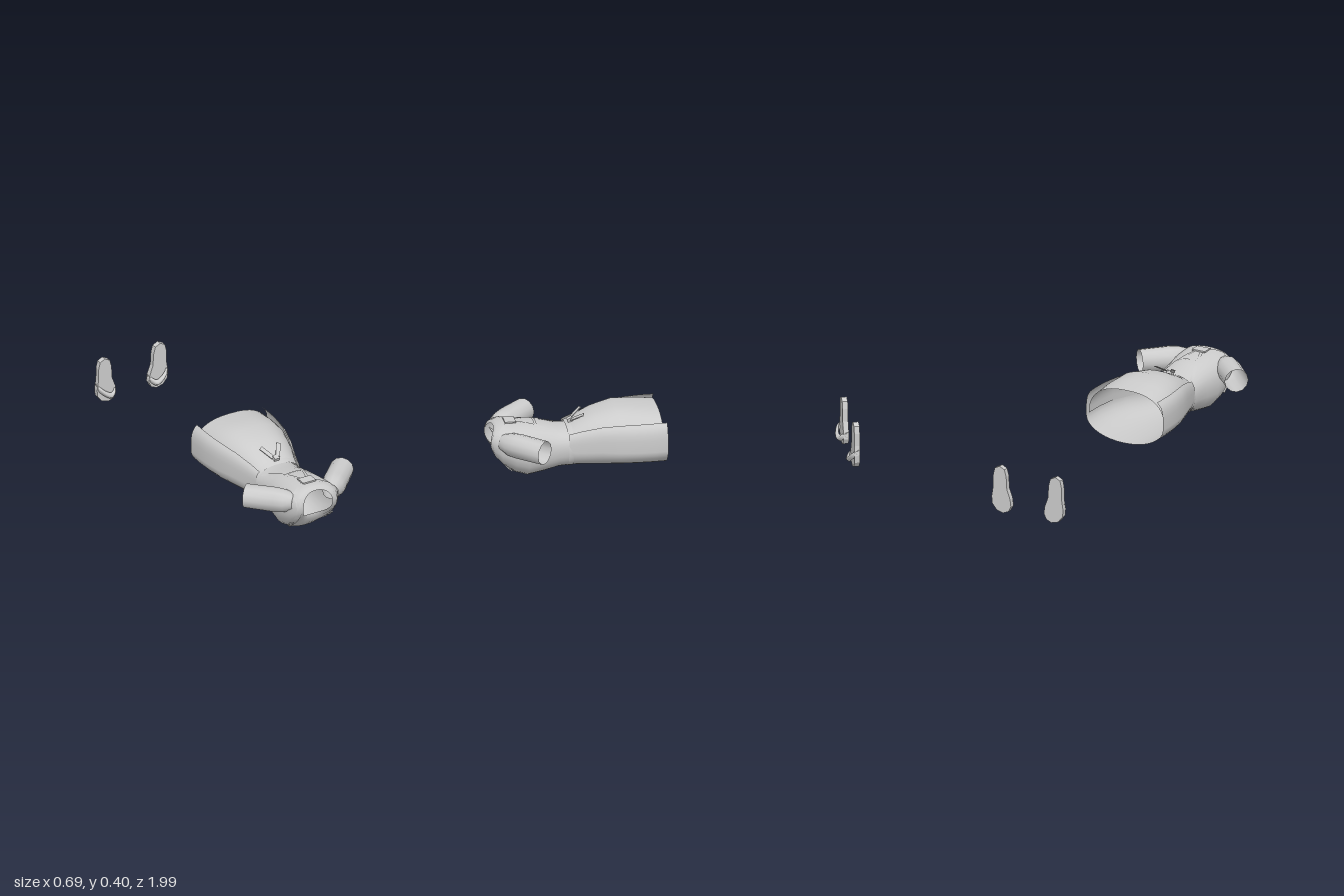
import * as THREE from 'three';

const mat = new THREE.MeshStandardMaterial({ color: 0xcccccc, side: THREE.DoubleSide });

// Grid surface from a point function over rows and columns
function grid(rows, cols, point, closed = false) {
  const pos = [], idx = [], n = closed ? cols : cols + 1;
  for (let i = 0; i <= rows; i++)
    for (let j = 0; j < n; j++) pos.push(...point(i, j / cols));
  for (let i = 0; i < rows; i++)
    for (let j = 0; j < cols; j++) {
      const a = i * n + j, b = i * n + (j + 1) % n;
      idx.push(a, b, a + n, b, b + n, a + n);
    }
  const g = new THREE.BufferGeometry();
  g.setAttribute('position', new THREE.Float32BufferAttribute(pos, 3));
  g.setIndex(idx);
  g.computeVertexNormals();
  return g;
}

// Rounded sections [zBottom, zSide, zTop, halfWidth, yBottom, yMid, yTop], swept from angle a0 to a1
function loft(rings, a0 = 0, a1 = 360, nBottom = 2.3, nTop = 2.3) {
  return grid(rings.length - 1, 28, (i, t) => {
    const [zb, zm, zt, w, yb, ym, yt] = rings[i];
    const a = THREE.MathUtils.degToRad(a0 + (a1 - a0) * t);
    const c = Math.cos(a), s = Math.sin(a), n = s > 0 ? nTop : nBottom;
    const up = Math.pow(Math.abs(s), 2 / n);
    return [
      w * Math.sign(c) * Math.pow(Math.abs(c), 2 / n),
      ym + (s > 0 ? yt - ym : yb - ym) * up,
      zm + ((s > 0 ? zt : zb) - zm) * s * s,
    ];
  }, a1 - a0 === 360);
}
const flat = ([z, ...rest]) => [z, z, z, ...rest];

export function createModel() {
  const model = new THREE.Group();
  const add = (name, geo, parent = model) => {
    const m = new THREE.Mesh(geo, mat);
    m.name = name;
    parent.add(m);
    return m;
  };

  // Bodice, from the waist to the neckline
  const bodice = add('bodice', loft([
    ...[
      [0.56, 0.137, 0.085, 0.2, 0.302], [0.62, 0.135, 0.08, 0.2, 0.305],
      [0.7, 0.145, 0.06, 0.2, 0.328], [0.79, 0.158, 0.045, 0.2, 0.342],
    ].map(flat),
    [0.86, 0.86, 0.87, 0.165, 0.07, 0.22, 0.347],
    [0.9, 0.94, 0.92, 0.157, 0.105, 0.25, 0.348],
    [0.93, 0.985, 0.95, 0.122, 0.145, 0.26, 0.345],
    [0.925, 0.993, 0.965, 0.09, 0.17, 0.255, 0.33],
  ]));

  // Closed lining at the waist
  add('waistLining', loft([
    [0.57, 0.135, 0.086, 0.2, 0.3], [0.55, 0.07, 0.14, 0.2, 0.25], [0.545, 0.001, 0.199, 0.2, 0.201],
  ].map(flat)));

  // Sleeves, slanting back from the shoulders
  const solids = [bodice];
  for (const side of [1, -1]) {
    const profile = [[0.045, 0], [0.062, 0.05], [0.067, 0.1], [0.065, 0.27]];
    const geo = grid(profile.length - 1, 12, (i, t) => {
      const [r, d] = profile[i], a = t * 2 * Math.PI;
      const out = r * Math.cos(a);
      return [
        side * (0.114 + 0.69 * d + 0.72 * out),
        0.274 + r * Math.sin(a),
        0.93 - 0.72 * d + 0.69 * out,
      ];
    }, true);
    solids.push(add(side > 0 ? 'leftSleeve' : 'rightSleeve', geo));
  }

  // Wrapped overskirt, open along the top
  solids.push(add('overskirt', loft([
    [0.05, 0.238, 0.085, 0.21, 0.382], [0.12, 0.24, 0.085, 0.21, 0.382],
    [0.2, 0.236, 0.085, 0.21, 0.38], [0.3, 0.221, 0.085, 0.21, 0.375],
    [0.4, 0.192, 0.085, 0.21, 0.36], [0.5, 0.157, 0.085, 0.2, 0.33],
    [0.57, 0.137, 0.085, 0.2, 0.305],
  ].map(flat), -225, 45, 2.1, 4)));

  // Domed panel filling the top of the skirt
  solids.push(add('skirtPanel', loft([
    [0.07, 0.232, 0.19, 0.21, 0.38], [0.18, 0.23, 0.19, 0.21, 0.396],
    [0.3, 0.215, 0.19, 0.21, 0.405], [0.42, 0.182, 0.19, 0.2, 0.378],
    [0.5, 0.152, 0.19, 0.2, 0.342], [0.57, 0.135, 0.19, 0.2, 0.304],
  ].map(flat), 0, 180, 2.3, 2.5)));

  // Waistband
  add('waistband', loft([
    [0.545, 0.142, 0.083, 0.2, 0.322], [0.572, 0.139, 0.082, 0.2, 0.31],
  ].map(flat)));

  // Straps are draped by dropping points onto the garment
  model.updateMatrixWorld(true);
  const ray = new THREE.Raycaster();
  const drape = (origin, dir) => {
    ray.set(origin, dir);
    const hit = ray.intersectObjects(solids, false)[0];
    return hit ? hit.point.addScaledVector(dir, -0.004) : null;
  };
  const fromAbove = (x, z) => drape(new THREE.Vector3(x, 2, z), new THREE.Vector3(0, -1, 0));
  const fromFront = (x, y) => drape(new THREE.Vector3(x, y, 2), new THREE.Vector3(0, 0, -1));
  function strap(name, project, [ax, ay], [bx, by], width) {
    const len = Math.hypot(bx - ax, by - ay);
    const px = -(by - ay) / len * width / 2, py = (bx - ax) / len * width / 2;
    const rows = [];
    for (let i = 0; i <= 10; i++) {
      const x = ax + (bx - ax) * i / 10, y = ay + (by - ay) * i / 10;
      const pair = [project(x - px, y - py), project(x + px, y + py)];
      if (pair[0] && pair[1]) rows.push(pair);
    }
    if (rows.length > 1) add(name, grid(rows.length - 1, 1, (i, t) => rows[i][t].toArray()));
  }
  const box = (name, size, position, rotation = [0, 0, 0], parent = model) => {
    const m = add(name, new THREE.BoxGeometry(...size), parent);
    m.position.set(...position);
    m.rotation.set(...rotation);
    return m;
  };

  for (const s of [1, -1]) {
    // Harness over the chest, shoulder and back
    strap('chestStrap', fromFront, [s * 0.113, 0.31], [s * 0.113, 0.13], 0.026);
    strap('shoulderStrap', fromAbove, [s * 0.11, 0.94], [s * 0.02, 0.88], 0.024);
    strap('backStrap', fromAbove, [s * 0.015, 0.86], [s * 0.105, 0.58], 0.016);

    // Buckle frame with hanging tab
    const buckle = new THREE.Group();
    buckle.name = 'buckle';
    for (const k of [1, -1]) {
      box('buckleBar', [0.042, 0.006, 0.006], [0, k * 0.013, 0], [0, 0, 0], buckle);
      box('buckleSide', [0.006, 0.03, 0.006], [k * 0.018, 0, 0], [0, 0, 0], buckle);
    }
    box('buckleTab', [0.014, 0.034, 0.005], [0, -0.027, 0], [0, 0, 0], buckle);
    buckle.position.copy(fromFront(s * 0.113, 0.133) ?? new THREE.Vector3(s * 0.113, 0.133, 0.91));
    buckle.rotation.set(0.75, 0, s * -0.12);
    model.add(buckle);

    // Ribbons of the waist bow
    box('bowRibbon', [0.024, 0.004, 0.085], [s * 0.035, 0.354, 0.51], [0.58, s * -0.5, 0]);
  }
  strap('crossStrap', fromAbove, [-0.05, 0.74], [0.05, 0.74], 0.014);
  box('backPlate', [0.08, 0.008, 0.06], [0, 0.352, 0.875]);
  box('bowKnot', [0.03, 0.02, 0.03], [0, 0.33, 0.545], [0.4, 0, 0]);

  // Sandals, standing on their toes with the soles to the back
  for (const s of [1, -1]) {
    const sandal = new THREE.Group();
    sandal.name = s > 0 ? 'leftSandal' : 'rightSandal';
    const outline = [
      [0.15, 0.001], [0.19, 0.012], [0.217, 0.045], [0.221, 0.085], [0.212, 0.14], [0.211, 0.21],
      [0.202, 0.25], [0.172, 0.265], [0.142, 0.25], [0.131, 0.21], [0.127, 0.14], [0.107, 0.085],
      [0.102, 0.045], [0.118, 0.014],
    ].map(([x, y]) => new THREE.Vector2(s * x, y));
    const sole = add('sole', new THREE.ExtrudeGeometry(
      new THREE.Shape(outline), { depth: 0.03, bevelEnabled: false }), sandal);
    sole.position.z = -1;

    // V-shaped band arching over the toes
    const path = new THREE.CatmullRomCurve3([
      [0.221, 0.098, -0.98], [0.205, 0.08, -0.95], [0.17, 0.05, -0.937], [0.14, 0.036, -0.938],
      [0.115, 0.052, -0.952], [0.102, 0.065, -0.98],
    ].map(([x, y, z]) => new THREE.Vector3(s * x, y, z)));
    add('toeBand', grid(14, 4, (i, t) => {
      const p = path.getPoint(i / 14);
      return [p.x, p.y - 0.013 + 0.036 * t, p.z - 0.018 * (t - 0.5) ** 2 * 4];
    }), sandal);
    model.add(sandal);
  }
  return model;
}
